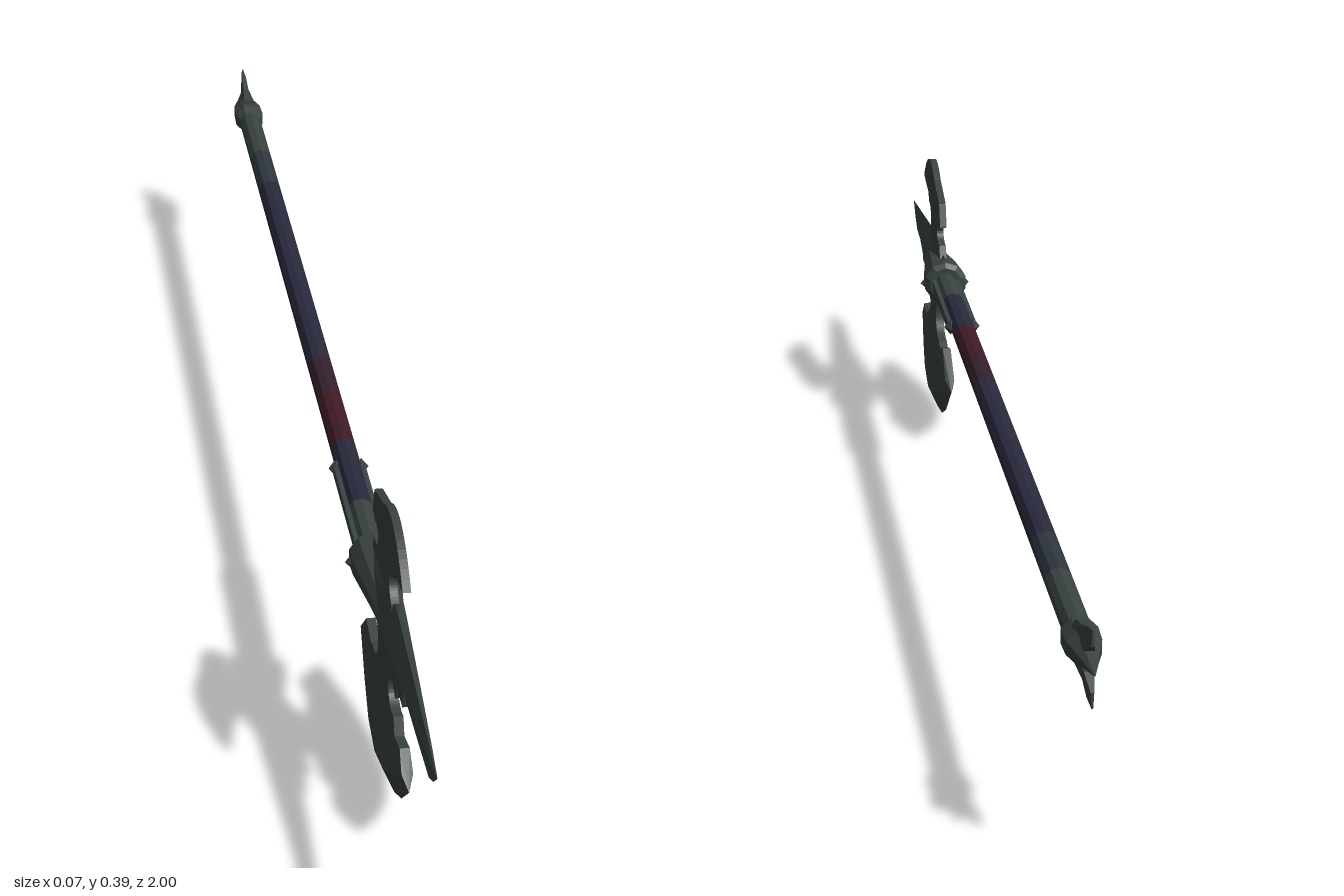
import * as THREE from 'three';

const AXIS_Y = 0.24;

const makeMaterial = (name, color, side = THREE.FrontSide) => {
  const m = new THREE.MeshStandardMaterial({ color, side, flatShading: true });
  m.name = name;
  return m;
};

// Solid skin over rings of [x, y, z] points, with both ends closed
function loft(rings) {
  const n = rings[0].length;
  const tris = [];
  for (let i = 0; i < rings.length - 1; i++) {
    for (let j = 0; j < n; j++) {
      const k = (j + 1) % n;
      const a = rings[i][j], b = rings[i][k], c = rings[i + 1][k], d = rings[i + 1][j];
      tris.push([a, b, c], [a, c, d]);
    }
  }
  const first = rings[0], last = rings[rings.length - 1];
  for (let j = 1; j < n - 1; j++) {
    tris.push([first[0], first[j + 1], first[j]], [last[0], last[j], last[j + 1]]);
  }
  // Turn the faces outward if the rings run the other way
  const v = (p) => new THREE.Vector3(...p);
  const volume = tris.reduce((s, [a, b, c]) => s + v(a).sub(v(first[0])).dot(v(b).sub(v(first[0])).cross(v(c).sub(v(first[0])))), 0);
  if (volume < 0) tris.forEach((t) => t.reverse());
  const g = new THREE.BufferGeometry();
  g.setAttribute('position', new THREE.Float32BufferAttribute(tris.flat(2), 3));
  g.computeVertexNormals();
  return g;
}

// Upright plate from a (z, y) outline, centred on x = 0
function plate(shape, thickness) {
  const g = new THREE.ExtrudeGeometry(shape, { depth: thickness, bevelEnabled: false, curveSegments: 8 });
  g.translate(0, 0, -thickness / 2);
  g.rotateY(-Math.PI / 2);
  return g;
}

// Turned part along z from [z, radius] points
function turned(points, sides) {
  return loft(points.map(([z, r]) => Array.from({ length: sides }, (_, i) => {
    const a = ((i + 0.5) / sides) * Math.PI * 2;
    return [Math.cos(a) * r, AXIS_Y + Math.sin(a) * r, z];
  })));
}

export function createModel() {
  const group = new THREE.Group();
  const iron = makeMaterial('dark iron', 0x3a4442);
  const navy = makeMaterial('navy grip', 0x2a2a3e);
  const red = makeMaterial('red wrap', 0x401c26);
  const plum = makeMaterial('plum wrap', 0x35202f);
  const slate = makeMaterial('slate grip', 0x2f3740);

  const add = (name, geometry, material) => {
    const mesh = new THREE.Mesh(geometry, material);
    mesh.name = name;
    group.add(mesh);
    return mesh;
  };

  // Shaft in coloured lengths
  const bands = [
    ['shaftRear', -0.9, -0.72, iron], ['shaftRearBlend', -0.72, -0.6, slate],
    ['shaftGrip', -0.6, 0.0, navy], ['shaftWrapBlend', 0.0, 0.1, plum],
    ['shaftWrap', 0.1, 0.24, red], ['shaftFront', 0.24, 0.4, navy], ['shaftNeck', 0.4, 0.53, iron],
  ];
  for (const [name, a, b, material] of bands) add(name, turned([[a, 0.0165], [b, 0.0165]], 10), material);

  // Socket, running into the spear point
  add('socket', turned([[0.505, 0.025], [0.512, 0.032], [0.54, 0.031], [0.62, 0.021], [0.74, 0.008], [0.8, 0.002]], 10), iron);

  // Side straps and studs
  for (const s of [-1, 1]) {
    const strap = add('strap', new THREE.BoxGeometry(0.008, 0.014, 0.23), iron);
    strap.position.set(s * 0.0165, AXIS_Y, 0.4);
    const end = add('strapEnd', new THREE.OctahedronGeometry(0.012), iron);
    end.scale.set(0.8, 1, 1.5);
    end.position.set(s * 0.0165, AXIS_Y, 0.287);
    const stud = add('stud', new THREE.ConeGeometry(0.014, 0.014, 6), iron);
    stud.rotation.z = -s * Math.PI / 2;
    stud.position.set(s * 0.03, AXIS_Y - 0.002, 0.522);
  }

  // Spear point with a ridge on each side: z, top, bottom, half width
  const spear = [
    [0.53, 0.275, 0.208, 0.024], [0.67, 0.279, 0.195, 0.018], [0.75, 0.27, 0.197, 0.014],
    [0.85, 0.258, 0.2, 0.009], [0.945, 0.247, 0.204, 0.004], [0.975, 0.243, 0.218, 0.002], [1.0, 0.24, 0.238, 0.0005],
  ];
  add('spearPoint', loft(spear.map(([z, top, bottom, w]) =>
    [[0, top, z], [w, AXIS_Y, z], [0, bottom, z], [-w, AXIS_Y, z]])), iron);

  // Upper hook with its two round notches
  const hook = new THREE.Shape();
  hook.moveTo(0.69, 0.24);
  hook.lineTo(0.69, 0.276);
  hook.quadraticCurveTo(0.672, 0.286, 0.672, 0.298);
  hook.quadraticCurveTo(0.676, 0.32, 0.7, 0.318);
  hook.lineTo(0.712, 0.331);
  hook.lineTo(0.775, 0.342);
  hook.quadraticCurveTo(0.735, 0.384, 0.685, 0.389);
  hook.quadraticCurveTo(0.65, 0.39, 0.62, 0.373);
  hook.lineTo(0.55, 0.354);
  hook.lineTo(0.537, 0.32);
  hook.lineTo(0.556, 0.314);
  hook.quadraticCurveTo(0.58, 0.32, 0.583, 0.302);
  hook.quadraticCurveTo(0.58, 0.286, 0.55, 0.288);
  hook.lineTo(0.54, 0.27);
  hook.lineTo(0.54, 0.24);
  add('upperHook', plate(hook, 0.01), iron);

  // Neck of the axe, with the barb under the spear and round notches
  const neck = new THREE.Shape();
  neck.moveTo(0.54, 0.24);
  neck.lineTo(0.8, 0.24);
  neck.lineTo(0.79, 0.197);
  neck.lineTo(0.745, 0.198);
  neck.lineTo(0.735, 0.174);
  neck.quadraticCurveTo(0.715, 0.19, 0.695, 0.182);
  neck.quadraticCurveTo(0.675, 0.165, 0.684, 0.149);
  neck.quadraticCurveTo(0.7, 0.133, 0.725, 0.142);
  neck.lineTo(0.735, 0.118);
  neck.lineTo(0.635, 0.1);
  neck.lineTo(0.53, 0.125);
  neck.lineTo(0.552, 0.136);
  neck.quadraticCurveTo(0.575, 0.132, 0.592, 0.15);
  neck.quadraticCurveTo(0.602, 0.17, 0.588, 0.19);
  neck.lineTo(0.572, 0.208);
  add('axeNeck', plate(neck, 0.012), iron);

  // Axe bit: edge, bevel line and inner line as (z, y), front to back
  const edge = [[0.812, 0.092], [0.755, 0.045], [0.7, 0.017], [0.635, 0.002], [0.57, 0.012], [0.51, 0.037], [0.436, 0.09]];
  const bevel = [[0.797, 0.108], [0.745, 0.075], [0.695, 0.049], [0.635, 0.035], [0.575, 0.043], [0.52, 0.066], [0.455, 0.103]];
  const inner = [[0.775, 0.13], [0.735, 0.12], [0.7, 0.128], [0.635, 0.125], [0.58, 0.125], [0.535, 0.13], [0.497, 0.14]];
  add('axeBit', loft(edge.map(([ez, ey], i) => {
    const [bz, by] = bevel[i], [iz, iy] = inner[i];
    const w = 0.007 + 0.008 * Math.sin((i / 6) * Math.PI);
    return [[0, ey, ez], [w, by, bz], [0.006, iy, iz], [-0.006, iy, iz], [-w, by, bz]];
  })), iron);

  // Pommel collar and point
  add('pommel', turned([[-0.87, 0.0165], [-0.885, 0.023], [-0.92, 0.022], [-0.96, 0.011], [-1.0, 0.001]], 8), iron);

  // Flared pommel fins, above and below
  for (const s of [-1, 1]) {
    const fin = [[-0.9, 0.015, 0.026, 0.013], [-0.935, 0.01, 0.032, 0.008], [-0.96, 0.012, 0.042, 0.006], [-0.985, 0.027, 0.046, 0.002]];
    add('pommelFin', loft(fin.map(([z, low, high, w]) => [
      [w, AXIS_Y + s * low, z], [w * 0.5, AXIS_Y + s * high, z],
      [-w * 0.5, AXIS_Y + s * high, z], [-w, AXIS_Y + s * low, z],
    ])), iron);
  }

  return group;
}
